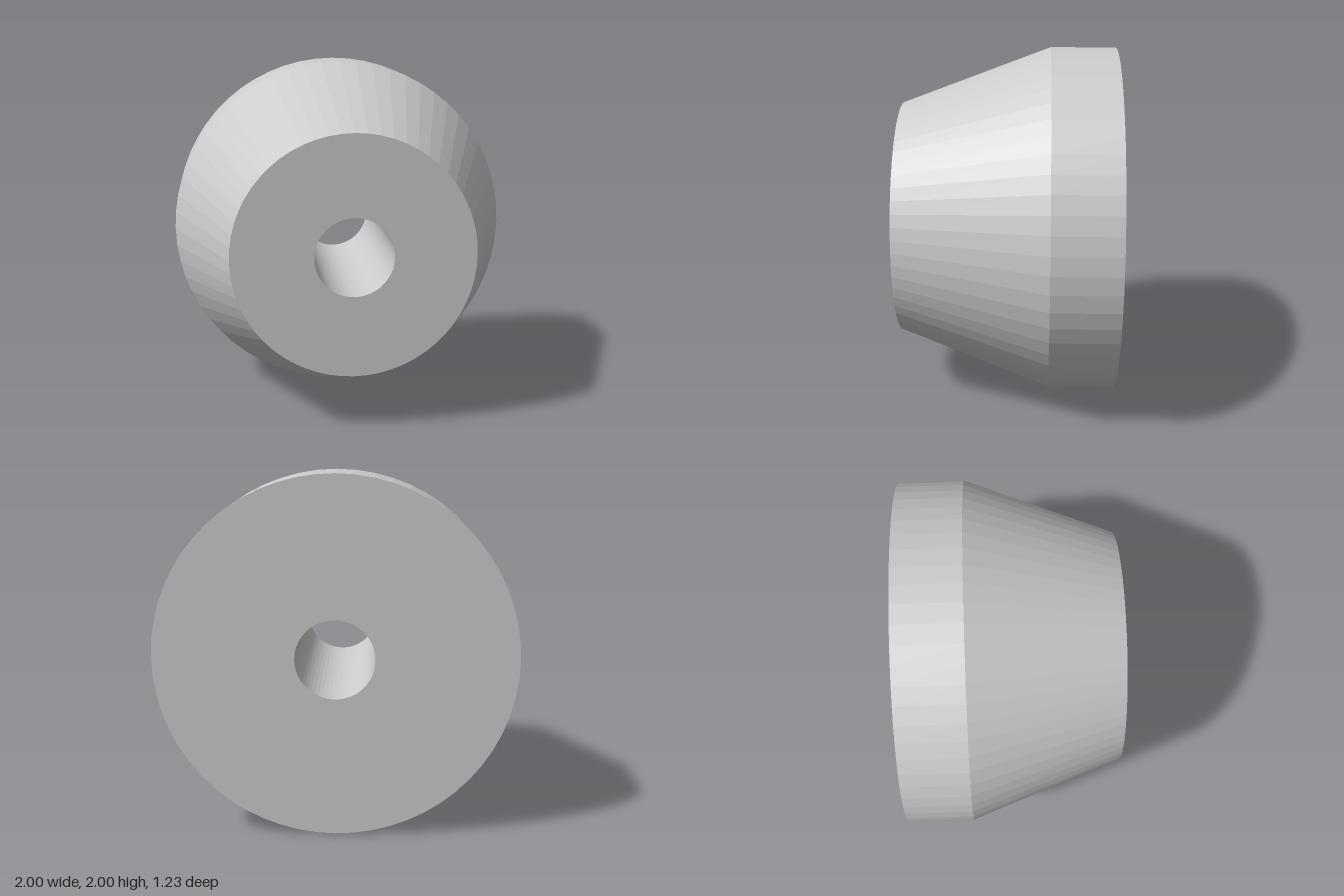
import * as THREE from 'three';

const SIDES = 60;
const RIM_RADIUS = 1;
const NOSE_RADIUS = 0.677;
const BORE_RADIUS = 0.22;
const HALF_DEPTH = 0.617;
const SHOULDER_Z = -0.24;

export function createModel() {
  const model = new THREE.Group();
  model.name = 'taperedBushing';

  // Closed profile (radius, z): back face, straight rim, taper, front face, bore
  const profile = [
    [BORE_RADIUS, -HALF_DEPTH],
    [RIM_RADIUS, -HALF_DEPTH],
    [RIM_RADIUS, SHOULDER_Z],
    [NOSE_RADIUS, HALF_DEPTH],
    [BORE_RADIUS, HALF_DEPTH],
    [BORE_RADIUS, -HALF_DEPTH],
  ].map(([r, z]) => new THREE.Vector2(r, z));

  // Turn the profile, then lay its axis along z with the narrow end forward
  const geometry = new THREE.LatheGeometry(profile, SIDES);
  geometry.rotateX(Math.PI / 2);
  geometry.translate(0, RIM_RADIUS, 0);

  const material = new THREE.MeshStandardMaterial({ color: 0xcccccc, flatShading: true });
  const body = new THREE.Mesh(geometry, material);
  body.name = 'taperedBody';
  model.add(body);

  return model;
}
